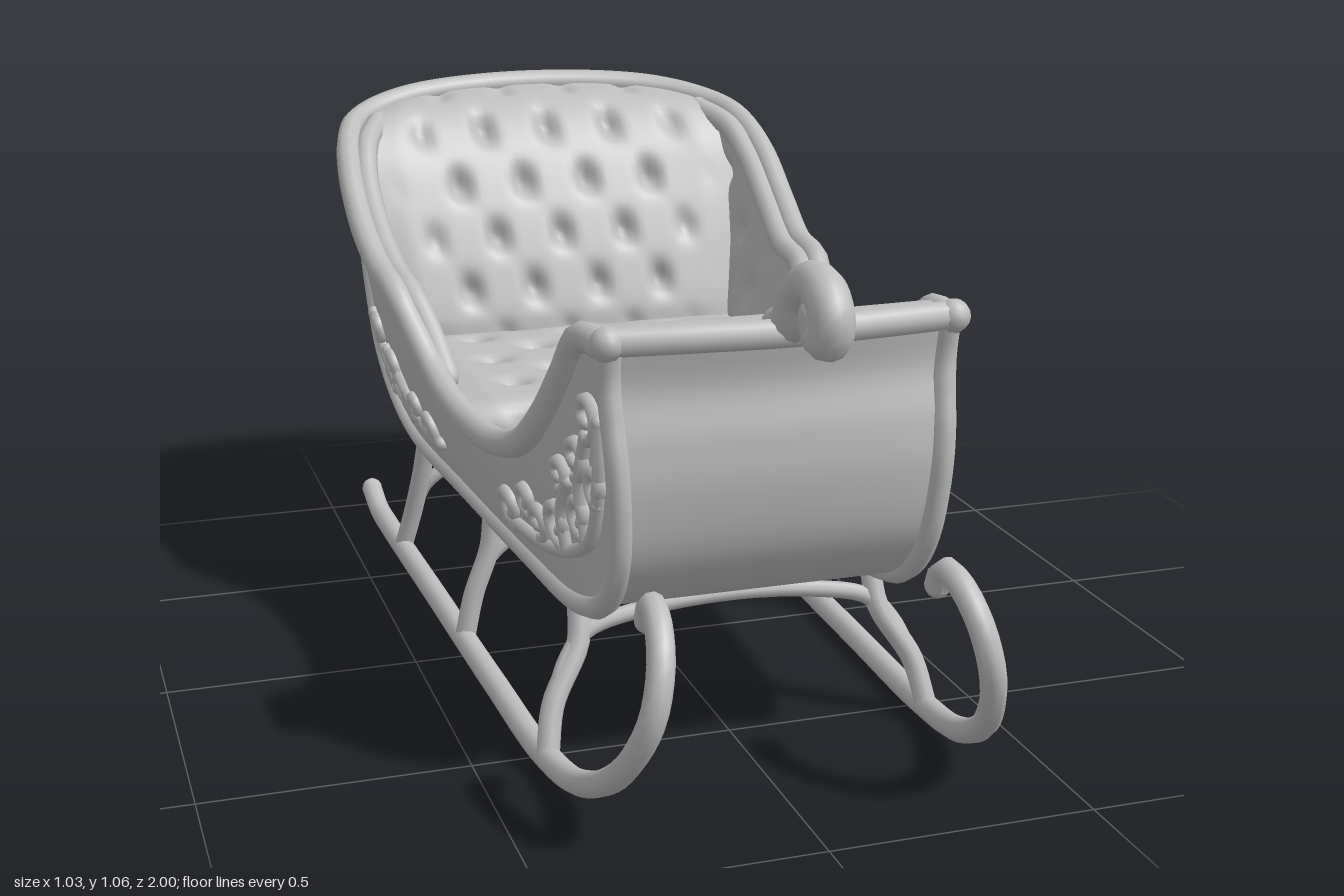
import * as THREE from 'three';

const V = (x, y, z) => new THREE.Vector3(x, y, z);
const silver = new THREE.MeshStandardMaterial({ color: 0xbebebe, side: THREE.DoubleSide });
silver.name = 'silver grey';

// Upper rim, front to back centre, on the left half
const RIM = [
  [.31, .84, .745], [.325, .83, .63], [.335, .755, .565], [.35, .655, .48], [.365, .58, .39],
  [.38, .535, .25], [.39, .525, .12], [.405, .54, -.02], [.42, .58, -.13], [.445, .65, -.2],
  [.468, .715, -.26], [.475, .74, -.39], [.485, .805, -.52], [.484, .895, -.65],
  [.465, .955, -.755], [.422, .985, -.85], [.29, 1.017, -.93], [0, 1.032, -.972],
].map(p => V(...p));

// Lower outline of the side: front edge, bottom and rear edge, as (z, y)
const zy = pts => new THREE.CatmullRomCurve3(pts.map(([z, y]) => V(0, y, z)), false, 'centripetal');
const keel = zy([
  [.745, .84], [.735, .76], [.755, .67], [.76, .57], [.73, .44], [.65, .35], [.5, .298], [.2, .29],
  [-.2, .294], [-.58, .31], [-.7, .385], [-.77, .52], [-.797, .7], [-.82, .85], [-.845, .98],
]);
const upper = new THREE.CatmullRomCurve3([...RIM.slice(0, 15), V(.422, .98, -.845)], false, 'centripetal');

// Half width of the body at a given depth and height
function halfWidth(z, y) {
  let i = 0;
  while (i < 14 && RIM[i + 1].z > z) i++;
  const a = RIM[i], b = RIM[i + 1];
  const k = THREE.MathUtils.clamp((z - a.z) / (b.z - a.z), 0, 1);
  const top = a.clone().lerp(b, k);
  const s = THREE.MathUtils.clamp((y - .29) / (top.y - .29), 0, 1);
  const low = THREE.MathUtils.mapLinear(z, .75, -.75, .28, .375);
  return low + (top.x - low) * s * (1.5 - .5 * s);
}

// Smooth surface over a grid; fn(u, v) returns a point
function sheet(name, fn, nu, nv) {
  const pos = [], idx = [];
  for (let j = 0; j <= nv; j++) for (let i = 0; i <= nu; i++) pos.push(...fn(i / nu, j / nv).toArray());
  for (let j = 0; j < nv; j++) for (let i = 0; i < nu; i++) {
    const a = j * (nu + 1) + i, b = a + nu + 1;
    idx.push(a, a + 1, b, a + 1, b + 1, b);
  }
  const g = new THREE.BufferGeometry();
  g.setAttribute('position', new THREE.Float32BufferAttribute(pos, 3));
  g.setIndex(idx);
  g.computeVertexNormals();
  const m = new THREE.Mesh(g, silver);
  m.name = name;
  return m;
}

function ball(name, p, r) {
  const m = new THREE.Mesh(new THREE.SphereGeometry(r, 12, 8), silver);
  m.position.copy(p);
  m.name = name;
  return m;
}

// Round bar along points, with rounded ends
function bar(name, pts, r, segs = 40, sides = 8) {
  const g = new THREE.Group();
  g.name = name;
  const curve = new THREE.CatmullRomCurve3(pts, false, 'centripetal');
  const m = new THREE.Mesh(new THREE.TubeGeometry(curve, segs, r, sides), silver);
  m.name = name + 'Bar';
  g.add(m, ball(name + 'End', pts[0], r), ball(name + 'End', pts[pts.length - 1], r));
  return g;
}

// Staggered button dimples, 1 at each button, fading out at the edges
const tuft = (a, b, pa, pb) =>
  ((1 + Math.cos(2 * Math.PI * a / pa) * Math.cos(2 * Math.PI * b / pb)) / 2) ** 6;
const fade = (t, k) => Math.min(1, k * t * (1 - t));

const backBow = y => .12 * Math.max(0, (y - .35) / .63) ** 2.3;
const mirrorPt = p => V(-p.x, p.y, p.z);
const mirrored = pts => [...pts, ...pts.slice(0, -1).reverse().map(mirrorPt)];

export function createModel() {
  const root = new THREE.Group();
  root.name = 'sleigh';

  // Front panel, floor and back panel in one sweep
  root.add(sheet('hull', (u, v) => {
    const p = keel.getPoint(v), e = 2 * u - 1, k = 1 - Math.abs(e) ** 3;
    const x = e * halfWidth(p.z, p.y);
    if (p.z < -.5) return V(x, p.y + .045 * k * Math.max(0, (p.y - .8) / .18), p.z - backBow(p.y) * k);
    return V(x, p.y, p.z + (p.z > .6 ? .035 * (1 - e * e) * Math.max(0, (p.y - .36) / .48) : 0));
  }, 24, 90));

  // Tufted pad across the body along a (z, y) profile; face is the z direction it looks toward
  const pad = (name, pts, face, pa, pb, off, bow = 0) => {
    const c = zy(pts), len = c.getLength();
    return sheet(name, (u, v) => {
      const p = c.getPointAt(v), t = c.getTangentAt(v), e = 2 * u - 1;
      const x = e * (halfWidth(p.z, p.y) - .03);
      const puff = fade(u, 12) * fade(v, 10);
      const d = puff * (.012 - .034 * fade(u, 6) ** 3 * tuft(x, v * len - off, pa, pb));
      const k = bow * (1 - Math.abs(e) ** 3) * v ** 3;
      return V(x, p.y + d * Math.abs(t.z) + .35 * k, p.z + face * d * Math.abs(t.y) - k);
    }, 64, 56);
  };
  root.add(
    pad('benchCushion', [[-.06, .4], [-.052, .46], [-.075, .5], [-.14, .51], [-.35, .515], [-.62, .52]], 1, .24, .17, .06),
    pad('frontSeatCushion', [[-.08, .425], [.1, .42], [.3, .41], [.6, .39]], -1, .24, .17, .12),
    pad('frontBackrest', [[.65, .845], [.625, .835], [.608, .8], [.603, .7], [.59, .55], [.575, .38]], -1, .24, .2, .16),
    pad('rearBackrest', [[-.585, .48], [-.625, .62], [-.685, .8], [-.735, .915], [-.79, .975], [-.865, .998]], 1, .15, .23, .025, .1),
  );

  // Cap over the front panel, its bar and the scroll
  root.add(sheet('frontCap', (u, v) => {
    const e = 2 * u - 1;
    return V(e * .315, .84 + .02 * Math.sin(Math.PI * v), .62 + v * (.135 + .035 * (1 - e * e)));
  }, 16, 8));
  root.add(bar('frontTopBar', mirrored([V(.31, .848, .745), V(.16, .85, .768), V(0, .85, .78)]), .026));
  root.add(bar('frontScroll', [[.74, .85], [.785, .872], [.82, .925], [.87, .955], [.925, .95], [.955, .915],
    [.947, .882], [.92, .882], [.91, .91]].map(([z, y]) => V(0, y, z)), .038, 40, 12));

  // Continuous rim
  root.add(bar('rim', mirrored(RIM), .027, 180, 10));

  // Scroll ornaments on the sides, in (z, y)
  const stems = [
    [[.71, .7], [.7, .6], [.65, .48], [.56, .42], [.42, .385], [.22, .375]],
    [[.62, .46], [.61, .56], [.65, .66]], [[.52, .41], [.52, .48], [.56, .55]],
    [[-.22, .39], [-.35, .395], [-.5, .43], [-.6, .5], [-.635, .58]],
    [[-.42, .41], [-.47, .48], [-.53, .52]], [[-.715, .75], [-.755, .78], [-.77, .85]],
  ];
  const curls = [
    [.66, .7, .045, 1], [.685, .58, .035, -1], [.6, .61, .04, 1], [.6, .5, .04, -1], [.53, .56, .032, 1],
    [.5, .455, .045, -1], [.41, .43, .035, 1], [.37, .46, .03, -1], [.26, .41, .042, -1],
    [-.27, .415, .035, 1], [-.36, .435, .03, -1], [-.44, .42, .035, 1], [-.5, .495, .035, 1],
    [-.57, .45, .035, -1], [-.61, .555, .03, 1], [-.74, .84, .035, 1], [-.72, .77, .022, -1],
  ];

  // Padded roll just inside the rim beside the rear seat
  const roll = [V(.392, .56, -.13), ...RIM.slice(9, 16).map((p, i) => V(p.x - .036, p.y - .012, p.z + (i > 4 ? .02 : 0)))];

  for (const s of [1, -1]) {
    const side = new THREE.Group();
    side.name = s > 0 ? 'leftSide' : 'rightSide';
    const onSide = (z, y, out) => V(s * (halfWidth(z, y) + out), y, z);

    // Outer wall and tufted lining, thicker toward the rim beside the rear seat
    const wall = (name, lining) => sheet(name, (u, v) => {
      const p = keel.getPointAt(u).lerp(upper.getPointAt(u), v);
      if (!lining) return onSide(p.z, p.y, 0);
      const rear = THREE.MathUtils.smoothstep(-p.z, .1, .3);
      const soft = rear * Math.sin(Math.PI * v) * (.01 - .025 * tuft(p.z, p.y, .2, .24));
      return onSide(p.z, p.y, -.03 - .025 * rear * v - soft);
    }, 100, 20);
    side.add(wall('sideWall', false), wall('sideLining', true));
    side.add(bar('paddedRoll', roll.map(p => V(s * p.x, p.y, p.z)), .026, 70, 10));

    // Edge moulding along front, bottom and rear corners
    const edge = keel.getSpacedPoints(40).map(p => onSide(p.z, p.y, -.004));
    side.add(bar('edgeMoulding', edge, .022, 120));
    side.add(ball('frontKnob', V(s * .312, .848, .75), .03), ball('rearKnob', V(s * .432, .935, -.842), .034));

    for (const st of stems) side.add(bar('ornamentStem', st.map(([z, y]) => onSide(z, y, .006)), .014, 24, 6));
    for (const [z, y, r, dir] of curls) {
      const pts = [];
      for (let i = 0; i <= 10; i++) {
        const a = dir * (i * .6) - 1.6, q = r * (1 - i / 15);
        pts.push(onSide(z + q * Math.cos(a), y + q * Math.sin(a), .007));
      }
      side.add(bar('ornamentCurl', pts, .013, 24, 6));
    }

    // Runner with curled front
    side.add(bar('runner', [
      [.41, .06, -.945], [.408, .032, -.87], [.405, .025, -.78], [.395, .025, -.3], [.385, .025, .2], [.375, .028, .55],
      [.36, .06, .745], [.335, .15, .9], [.305, .27, .973], [.285, .36, .957], [.272, .415, .895], [.267, .42, .845], [.266, .385, .825],
    ].map(([x, y, z]) => V(s * x, y, z)), .024, 90, 10));
    root.add(side);
  }

  // Struts from runners to body, joined by arched braces under the floor
  for (const [z0, z1] of [[.57, .48], [-.035, -.035], [-.61, -.54]]) {
    const zAt = y => THREE.MathUtils.mapLinear(y, .03, .29, z0, z1);
    const top = halfWidth(z1, .3) - .01, foot = THREE.MathUtils.mapLinear(z0, .57, -.61, .375, .4);
    const leg = [V(foot, .03, z0), V(foot - .02, .12, zAt(.12)), V(top + .008, .22, zAt(.22)), V(top, .29, z1)];
    root.add(bar('leftStrut', leg, .022, 16), bar('rightStrut', leg.map(mirrorPt), .022, 16));
    const arch = [[foot - .02, .12], [foot - .05, .19], [.28, .238], [.17, .264], [0, .275]];
    root.add(bar('crossBrace', mirrored(arch.map(([x, y]) => V(x, y, zAt(y)))), .016, 48));
  }
  return root;
}
